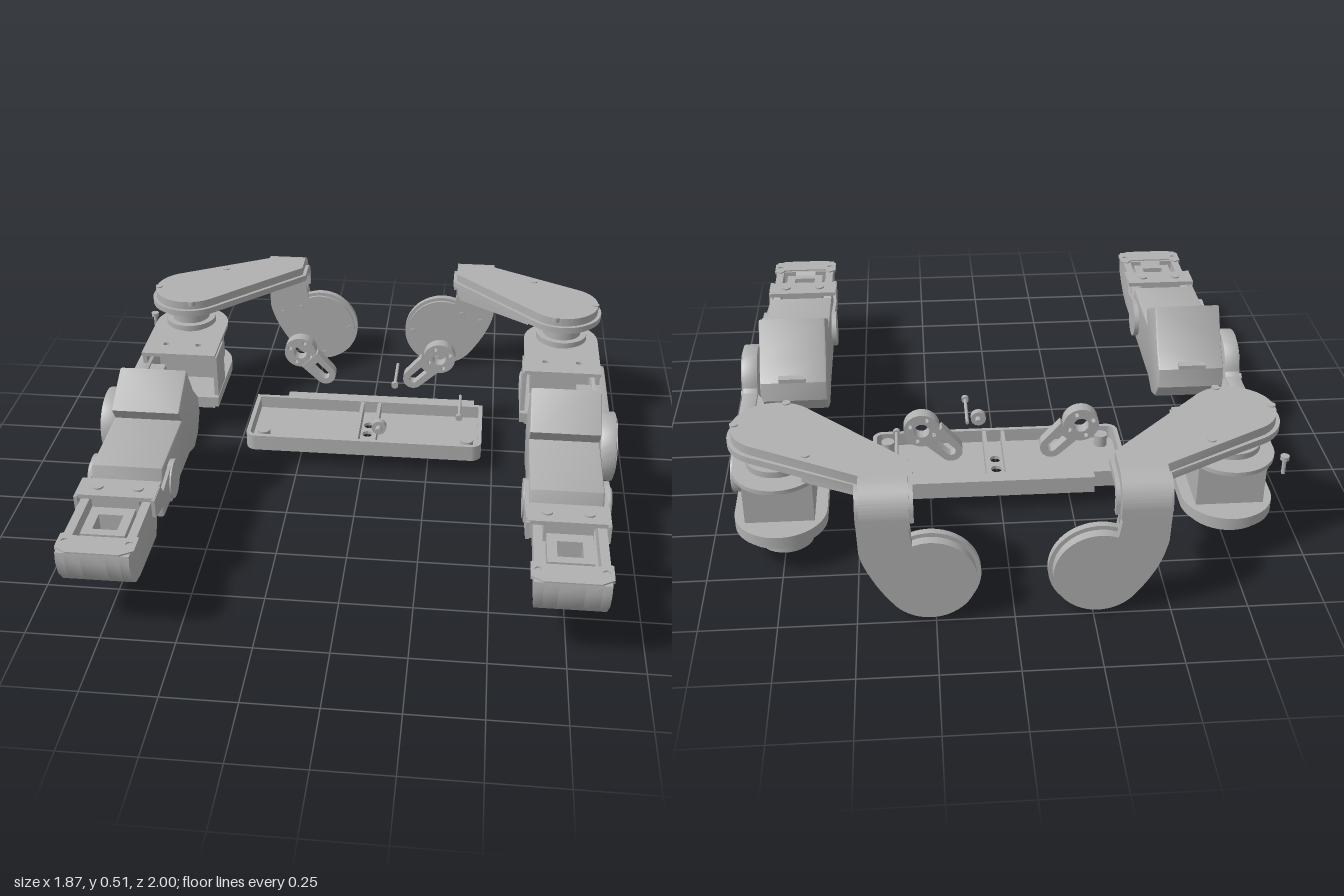
import * as THREE from 'three';
import { toCreasedNormals } from 'three/addons/utils/BufferGeometryUtils.js';

const grey = new THREE.MeshStandardMaterial({ color: 0xb0b0b0 });
grey.name = 'plain grey';

function add(group, name, geometry) {
  const mesh = new THREE.Mesh(geometry, grey);
  mesh.name = name;
  group.add(mesh);
  return mesh;
}
const poly = (pts) => new THREE.Shape(pts.map(([a, b]) => new THREE.Vector2(a, b)));
const rect = (a0, b0, a1, b1) => poly([[a0, b0], [a1, b0], [a1, b1], [a0, b1]]);
const hole = (s, a, b, r) => { s.holes.push(new THREE.Path().absarc(a, b, r, 0, Math.PI * 2, false)); return s; };

// Extrusions between two planes; a shape is (x,z) for Y, (z,y) for X, (x,y) for Z
function slab(shape, lo, hi, b = 0) {
  const g = new THREE.ExtrudeGeometry(shape, {
    depth: hi - lo - 2 * b, curveSegments: 20, bevelEnabled: b > 0,
    bevelSize: b, bevelThickness: b, bevelOffset: -b, bevelSegments: 2 });
  return toCreasedNormals(g.translate(0, 0, b), 0.5);
}
const plateY = (s, lo, hi, b) => slab(s, lo, hi, b).rotateX(Math.PI / 2).translate(0, hi, 0);
const plateX = (s, lo, hi, b) => slab(s, lo, hi, b).rotateY(-Math.PI / 2).translate(hi, 0, 0);
const plateZ = (s, lo, hi, b) => slab(s, lo, hi, b).translate(0, 0, lo);
const box = (x0, x1, y0, y1, z0, z1) => new THREE.BoxGeometry(x1 - x0, y1 - y0, z1 - z0)
  .translate((x0 + x1) / 2, (y0 + y1) / 2, (z0 + z1) / 2);
const cylY = (x, z, r, y0, y1) => new THREE.CylinderGeometry(r, r, y1 - y0, 32).translate(x, (y0 + y1) / 2, z);
const cylX = (y, z, r, x0, x1) => new THREE.CylinderGeometry(r, r, x1 - x0, 32)
  .rotateZ(Math.PI / 2).translate((x0 + x1) / 2, y, z);
const cylZ = (x, y, r, z0, z1) => new THREE.CylinderGeometry(r, r, z1 - z0, 20)
  .rotateX(Math.PI / 2).translate(x, y, (z0 + z1) / 2);

// Copy of a group reflected in x, with face order reversed
function mirrored(source, name) {
  const out = new THREE.Group();
  out.name = name;
  for (const m of source.children) {
    const g = (m.geometry.index ? m.geometry.toNonIndexed() : m.geometry.clone()).scale(-1, 1, 1);
    const index = [];
    for (let i = 0; i < g.attributes.position.count; i += 3) index.push(i, i + 2, i + 1);
    g.setIndex(index);
    add(out, m.name, g);
  }
  return out;
}

// Outlines of the shoulder bracket, shrunk by d
function topOutline(d) {
  const s = new THREE.Shape();
  s.moveTo(0.31 + d, -0.9);
  s.lineTo(0.49 - d, -0.9);
  s.lineTo(0.816 - 0.4 * d, -0.73 + 0.9 * d);
  s.absarc(0.75, -0.59, 0.155 - d, -1.13, 2.356, false);
  s.lineTo(0.31 + d, -0.81 - 0.4 * d);
  return s;
}
function backOutline(d) {
  const s = new THREE.Shape();
  s.moveTo(0.32 + d, 0.395);
  s.lineTo(0.49 - d, 0.395);
  s.lineTo(0.485 - d, 0.25);
  s.quadraticCurveTo(0.47 - d, 0.17, 0.397 - 0.8 * d, 0.07 + 0.57 * d);
  s.absarc(0.265, 0.16, 0.16 - d, -0.6, 1.2, true);
  return s;
}
function bendOutline(r0, r1) {
  const s = new THREE.Shape(), cz = -0.9, cy = 0.395;
  s.moveTo(-0.84, cy + r1);
  s.lineTo(cz, cy + r1);
  s.absarc(cz, cy, r1, Math.PI / 2, Math.PI, false);
  s.lineTo(cz - r1, 0.36);
  s.lineTo(cz - r0, 0.36);
  s.absarc(cz, cy, r0, Math.PI, Math.PI / 2, true);
  s.lineTo(-0.84, cy + r0);
  return s;
}

function buildArm() {
  const arm = new THREE.Group();
  arm.name = 'leftArm';
  const put = (n, g) => add(arm, n, g);

  // Shoulder bracket: horizontal cover, bend and upright disc, each with a wider rim
  for (const [n, d, r0, r1] of [['shoulderCover', 0.014, 0.035, 0.1], ['shoulderRim', 0, 0.045, 0.068]]) {
    put(n, plateY(topOutline(d), 0.395 + r0, 0.395 + r1));
    put(n + 'Bend', plateX(bendOutline(r0, r1), 0.31 + d, 0.49 - d));
    put(n + 'Upright', plateZ(backOutline(d), -0.9 - r1, -0.9 - r0));
  }
  for (const [x, z] of [[0.64, -0.775], [0.88, -0.58], [0.72, -0.455]]) put('coverScrew', cylY(x, z, 0.014, 0.48, 0.499));
  for (const [x, y] of [[0.25, 0.03], [0.14, 0.16], [0.43, 0.22], [0.35, 0.25]]) put('discScrew', cylZ(x, y, 0.012, -0.999, -0.93));

  // Shoulder motor with its turning horn and mounting plate
  put('shoulderHorn', cylY(0.755, -0.58, 0.075, 0.335, 0.44));
  put('shoulderHornFlange', cylY(0.755, -0.58, 0.1, 0.35, 0.372));
  put('shoulderMotor', box(0.64, 0.87, 0.15, 0.325, -0.65, -0.45));
  const stadium = (d, front) => {
    const s = new THREE.Shape();
    s.moveTo(0.6 + d, front - d);
    s.lineTo(0.6 + d, -0.585);
    s.absarc(0.755, -0.585, 0.155 - d, Math.PI, Math.PI * 2, false);
    s.lineTo(0.91 - d, front - d);
    return s;
  };
  const mount = stadium(0.008, -0.3);
  for (const x of [0.69, 0.82]) hole(mount, x, -0.39, 0.012);
  put('mountingPlate', plateY(mount, 0.32, 0.335));
  for (const x of [0.61, 0.89]) put('mountingWall', box(x - 0.008, x + 0.008, 0.15, 0.325, -0.45, -0.31));
  put('shoulderBase', plateY(stadium(0, -0.29), 0.115, 0.155));
  put('shoulderBaseFoot', plateY(stadium(0.02, -0.29), 0.095, 0.115));

  // Side link from the shoulder to the elbow
  const link = new THREE.Shape();
  link.moveTo(-0.445, 0.155);
  link.lineTo(0.06, 0.155);
  link.absarc(0.11, 0.275, 0.125, -1.98, 2.95, false);
  link.lineTo(-0.03, 0.288);
  link.lineTo(-0.445, 0.288);
  link.absarc(-0.445, 0.2215, 0.0665, Math.PI / 2, Math.PI * 1.5, false);
  put('sideLink', plateX(link, 0.868, 0.925, 0.006));
  put('sideLinkWeb', plateY(poly([[0.81, -0.32], [0.81, -0.2], [0.85, -0.06], [0.87, -0.02], [0.87, -0.32]]), 0.165, 0.28));
  put('elbowCap', cylX(0.275, 0.11, 0.105, 0.92, 0.93));
  for (const [z, y] of [[-0.07, 0.18], [-0.02, 0.28], [0.2, 0.28]]) put('linkScrew', cylX(y, z, 0.014, 0.92, 0.93));

  // Forearm body with its raised, tilted motor housing
  put('forearm', plateX(poly([[0.585, 0.195], [0.59, 0.28], [0.56, 0.375], [0.25, 0.375], [0.285, 0.425],
    [0.125, 0.51], [0.045, 0.385], [-0.02, 0.32], [-0.03, 0.25], [0.02, 0.185], [0.09, 0.16], [0.17, 0.187]]), 0.615, 0.86, 0.008));
  put('housingSlot', box(0.69, 0.79, 0.325, 0.34, -0.03, 0.01));

  // Wrist: round joints, side ears and a top plate
  const ear = poly([[0.735, 0.365], [0.735, 0.3], [0.6, 0.265], [0.52, 0.215], [0.45, 0.215], [0.41, 0.27],
    [0.44, 0.335], [0.5, 0.345], [0.62, 0.325], [0.65, 0.365]]);
  put('wristEar', plateX(ear, 0.602, 0.614));
  put('wristEar', plateX(ear, 0.861, 0.873));
  put('wristJoint', cylX(0.28, 0.475, 0.072, 0.86, 0.882));
  put('wristJoint', cylX(0.28, 0.475, 0.068, 0.596, 0.62));
  put('wristRing', new THREE.TorusGeometry(0.045, 0.009, 10, 32).rotateY(Math.PI / 2).translate(0.884, 0.28, 0.475));
  put('wristHub', cylX(0.28, 0.475, 0.025, 0.88, 0.893));
  put('wristPlate', box(0.605, 0.872, 0.352, 0.367, 0.625, 0.725));
  put('wristBlock', box(0.66, 0.82, 0.26, 0.355, 0.64, 0.715));
  for (const x of [0.67, 0.805]) put('wristScrew', cylY(x, 0.675, 0.018, 0.36, 0.373));

  // Hand: tapered cup with a square opening through it
  const hand = (n, pts, x0, x1) => {
    const g = plateX(poly(pts), x0, x1), p = g.attributes.position;
    for (let i = 0; i < p.count; i++) {
      const k = 1 - 0.9 * Math.max(0, 0.26 - p.getY(i));
      p.setX(i, 0.742 + (p.getX(i) - 0.742) * k);
    }
    put(n, toCreasedNormals(g, 0.5));
  };
  const nose = [[0.86, 0.157], [0.92, 0.175], [0.965, 0.21], [0.99, 0.25], [1, 0.3], [0.995, 0.333]];
  const back = [[0.63, 0.28], [0.63, 0.147]];
  const side = [...back, ...nose, [0.69, 0.333]];
  const floor = [...back, ...nose, [0.9, 0.333], [0.9, 0.285]];
  hand('handSide', side, 0.625, 0.655);
  hand('handSide', side, 0.832, 0.862);
  hand('handFloor', floor, 0.655, 0.7);
  hand('handFloor', floor, 0.782, 0.832);
  hand('handHeel', [...back, [0.77, 0.152], [0.77, 0.285]], 0.7, 0.782);
  hand('handTip', [[0.85, 0.156], ...nose, [0.9, 0.333], [0.85, 0.285]], 0.7, 0.782);
  const frame = rect(0.668, 0.73, 0.815, 0.88);
  frame.holes.push(rect(0.7, 0.77, 0.782, 0.85));
  put('handFrame', plateY(frame, 0.28, 0.325));
  const lip = poly([[0.615, 0.9], [0.64, 0.885], [0.66, 0.91], [0.825, 0.91], [0.845, 0.885], [0.87, 0.9], [0.87, 0.97], [0.83, 0.995], [0.655, 0.995], [0.615, 0.97]]);
  for (const x of [0.638, 0.847]) hole(lip, x, 0.935, 0.011);
  put('handLip', plateY(lip, 0.325, 0.338));
  return arm;
}

// Loose horn: drilled disc with a slotted crank
function buildHorn() {
  const horn = new THREE.Group();
  horn.name = 'leftHorn';
  const disc = hole(new THREE.Shape().absarc(0.275, 0.337, 0.062, 0, Math.PI * 2, false), 0.275, 0.337, 0.026);
  for (let i = 0; i < 4; i++) hole(disc, 0.275 + 0.044 * Math.cos(i * 1.57 + 0.4), 0.337 + 0.044 * Math.sin(i * 1.57 + 0.4), 0.008);
  add(horn, 'hornDisc', plateZ(disc, -0.41, -0.365));
  const crank = new THREE.Shape();
  crank.absarc(0, 0, 0.04, Math.PI / 2, Math.PI * 1.5, false);
  crank.lineTo(0.09, -0.045);
  crank.lineTo(0.09, 0.045);
  const slot = new THREE.Path();
  slot.absarc(0, 0, 0.016, Math.PI / 2, Math.PI * 1.5, false);
  slot.lineTo(0.06, -0.016);
  slot.lineTo(0.06, 0.016);
  crank.holes.push(slot);
  add(horn, 'hornCrank', plateZ(crank, -0.4, -0.36).rotateZ(0.8).translate(0.175, 0.245, 0));
  return horn;
}

// Open tray with a rim, a divider and drilled floor
function buildTray() {
  const tray = new THREE.Group();
  tray.name = 'tray';
  const outline = (d) => {
    const s = new THREE.Shape(), x = 0.455 - d, z0 = -0.385 + d, z1 = -0.07 - d, r = 0.04 - d;
    s.moveTo(-x, z0);
    s.lineTo(x, z0);
    s.absarc(x - r, z1 - r, r, 0, Math.PI / 2, false);
    s.absarc(-x + r, z1 - r, r, Math.PI / 2, Math.PI, false);
    return s;
  };
  const floor = outline(0);
  for (const z of [-0.27, -0.205]) hole(floor, 0.008, z, 0.02);
  add(tray, 'trayFloor', plateY(floor, 0.062, 0.075));
  const rim = outline(0);
  rim.holes.push(outline(0.016));
  add(tray, 'trayRim', plateY(rim, 0.075, 0.125));
  add(tray, 'trayBackLedge', box(-0.33, 0.42, 0.062, 0.125, -0.42, -0.384));
  for (const x of [-0.026, 0.042]) add(tray, 'trayDivider', box(x - 0.007, x + 0.007, 0.07, 0.122, -0.38, -0.08));
  for (const x of [-0.39, 0.4]) add(tray, 'trayPost', cylY(x, -0.13, 0.024, 0.07, 0.12));
  return tray;
}

export function createModel() {
  const model = new THREE.Group();
  model.name = 'twinArmKit';
  const arm = buildArm(), horn = buildHorn();
  model.add(mirrored(arm, 'rightArm'), arm, mirrored(horn, 'rightHorn'), horn, buildTray());

  // Parts on one side only
  add(model, 'loosePivotDisc', cylY(0.74, -0.605, 0.092, 0.062, 0.082));
  add(model, 'pivotStem', cylY(0.74, -0.605, 0.035, 0.08, 0.1));
  add(model, 'neckStiffener', plateY(poly([[0.33, -0.85], [0.46, -0.86], [0.66, -0.76], [0.62, -0.6], [0.34, -0.8]]), 0.385, 0.435));

  // Loose screws and spacer
  for (const [x, y] of [[0.115, 0.32], [0.365, 0.19]]) {
    add(model, 'longScrew', cylZ(x, y, 0.006, -0.34, -0.18));
    add(model, 'longScrewHead', cylZ(x, y, 0.013, -0.185, -0.17));
  }
  add(model, 'spacer', cylZ(0.063, 0.185, 0.028, -0.1, -0.075));
  add(model, 'spacerStem', cylZ(0.063, 0.185, 0.012, -0.125, -0.05));
  add(model, 'uprightScrew', cylY(-0.926, -0.65, 0.007, 0.27, 0.33));
  add(model, 'uprightScrewHead', cylY(-0.926, -0.65, 0.015, 0.325, 0.34));
  return model;
}
